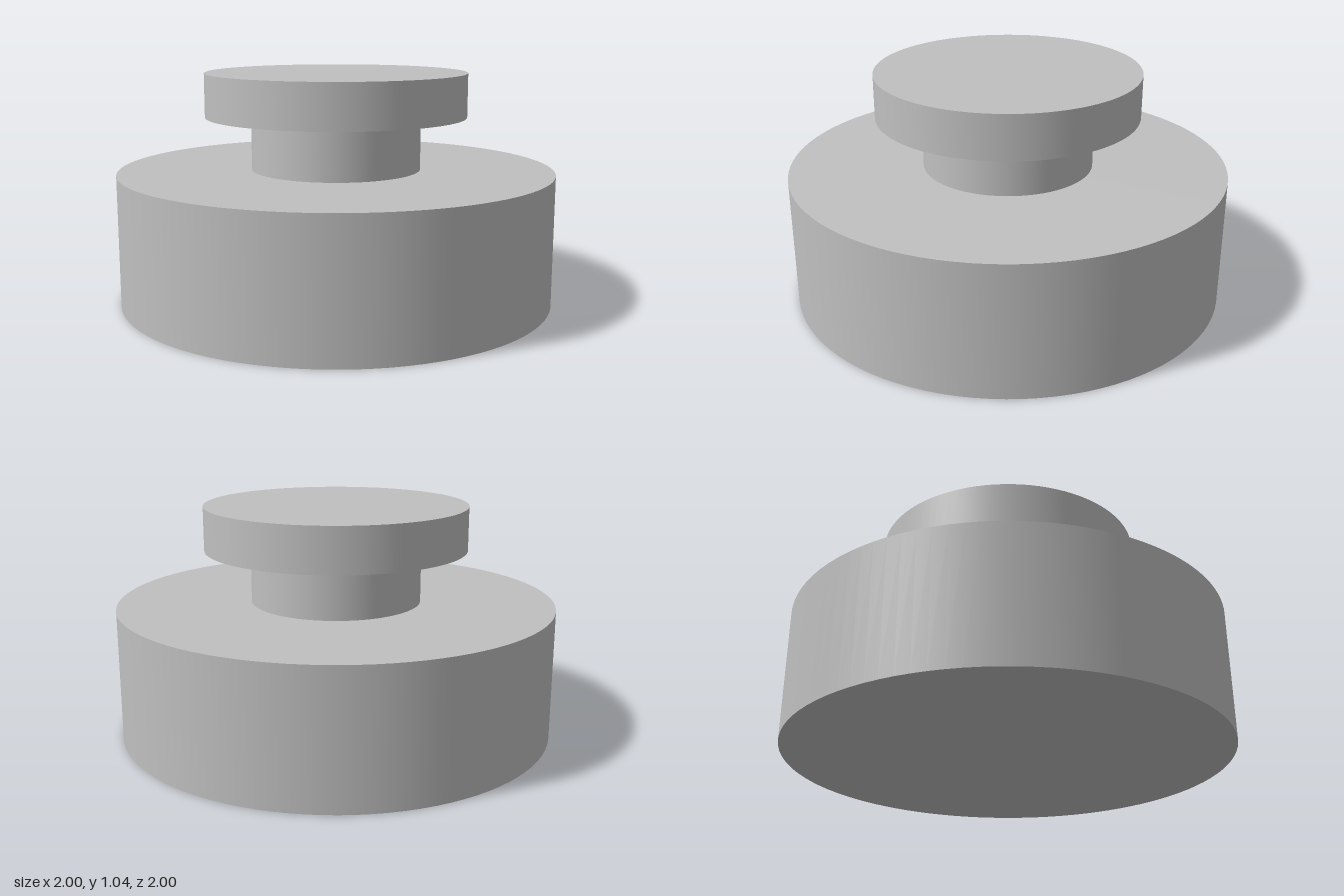
import * as THREE from 'three';

export function createModel() {
  const model = new THREE.Group();
  const grey = new THREE.MeshStandardMaterial({ color: 0xc0c0c0 });
  grey.name = 'grey';

  // Adds an upright disc between two heights
  function addDisc(name, radius, bottom, top, openEnded = false) {
    const geometry = new THREE.CylinderGeometry(radius, radius, top - bottom, 96, 1, openEnded);
    const mesh = new THREE.Mesh(geometry, grey);
    mesh.name = name;
    mesh.position.y = (bottom + top) / 2;
    model.add(mesh);
  }

  addDisc('base', 1, 0, 0.6);
  addDisc('neck', 0.39, 0.6, 0.845, true); // ends are closed by the base and head
  addDisc('head', 0.6, 0.845, 1.045);

  return model;
}
